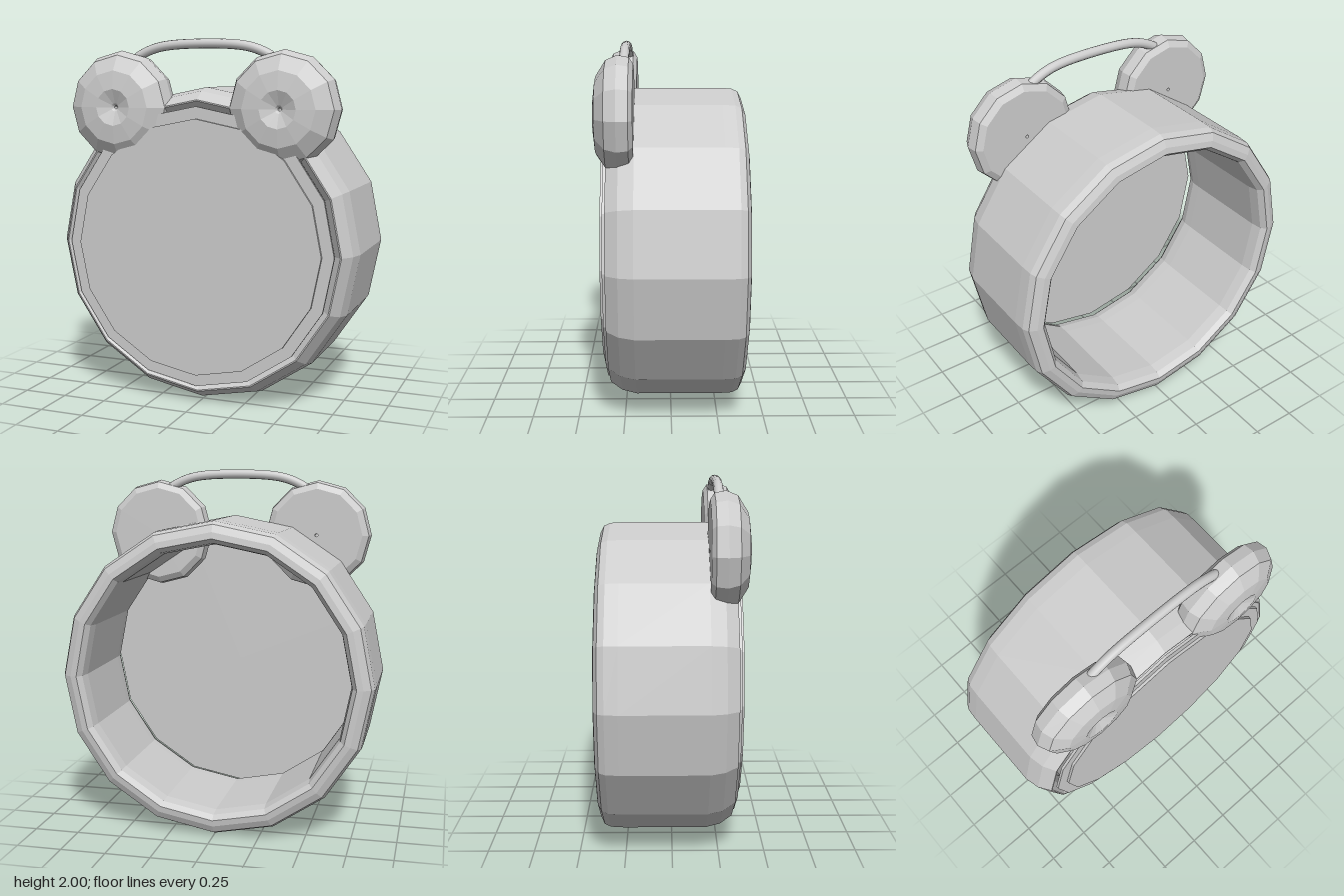
import * as THREE from 'three';

const grey = new THREE.MeshStandardMaterial({ color: 0xcccccc });
grey.name = 'plain grey';

// Turned part around the z axis, faceted; profile points are [radius, z].
function turned(name, profile, sides) {
  const points = profile.map(([r, z]) => new THREE.Vector2(r, z));
  const geometry = new THREE.LatheGeometry(points, sides).rotateX(Math.PI / 2).toNonIndexed();
  geometry.computeVertexNormals();
  const mesh = new THREE.Mesh(geometry, grey);
  mesh.name = name;
  return mesh;
}

export function createModel() {
  const clock = new THREE.Group();
  clock.name = 'alarmClock';
  const centreY = 0.875;

  // Thick hollow case, open at the back, with rounded rims inside and out
  const body = turned('case', [
    [0.775, -0.4], [0.81, -0.395], [0.85, -0.375], [0.866, -0.34], [0.87, -0.27],
    [0.87, 0.19], [0.85, 0.27], [0.805, 0.335],
    [0.798, 0.335], [0.76, 0.3], [0.742, 0.25], [0.74, 0.19],
    [0.74, -0.31], [0.75, -0.37], [0.775, -0.4],
  ], 16);
  body.position.y = centreY;

  // Stepped dial standing just proud of the rim
  const dial = turned('dial', [
    [0, 0.335], [0.77, 0.335], [0.77, 0.35], [0.705, 0.35], [0.705, 0.365], [0, 0.365],
  ], 16);
  dial.position.y = centreY;
  clock.add(body, dial);

  // Domed bells with a dimple and a pin hole through the middle
  for (const [name, side] of [['leftBell', 1], ['rightBell', -1]]) {
    const bell = turned(name, [
      [0.009, 0.193], [0.262, 0.193], [0.297, 0.215], [0.308, 0.275], [0.283, 0.335],
      [0.2, 0.387], [0.1, 0.4], [0.022, 0.37], [0.009, 0.357], [0.009, 0.193],
    ], 12);
    bell.position.set(side * 0.47, 1.635, 0);
    clock.add(bell);
  }

  // Carrying handle bridging the bells
  const half = [[0.435, 1.87], [0.385, 1.91], [0.29, 1.952], [0.17, 1.972]];
  const path = [
    ...half.map(([x, y]) => new THREE.Vector3(-x, y, 0.243)),
    ...half.reverse().map(([x, y]) => new THREE.Vector3(x, y, 0.243)),
  ];
  const handle = new THREE.Mesh(
    new THREE.TubeGeometry(new THREE.CatmullRomCurve3(path), 40, 0.026, 12), grey);
  handle.name = 'handle';
  clock.add(handle);

  return clock;
}
